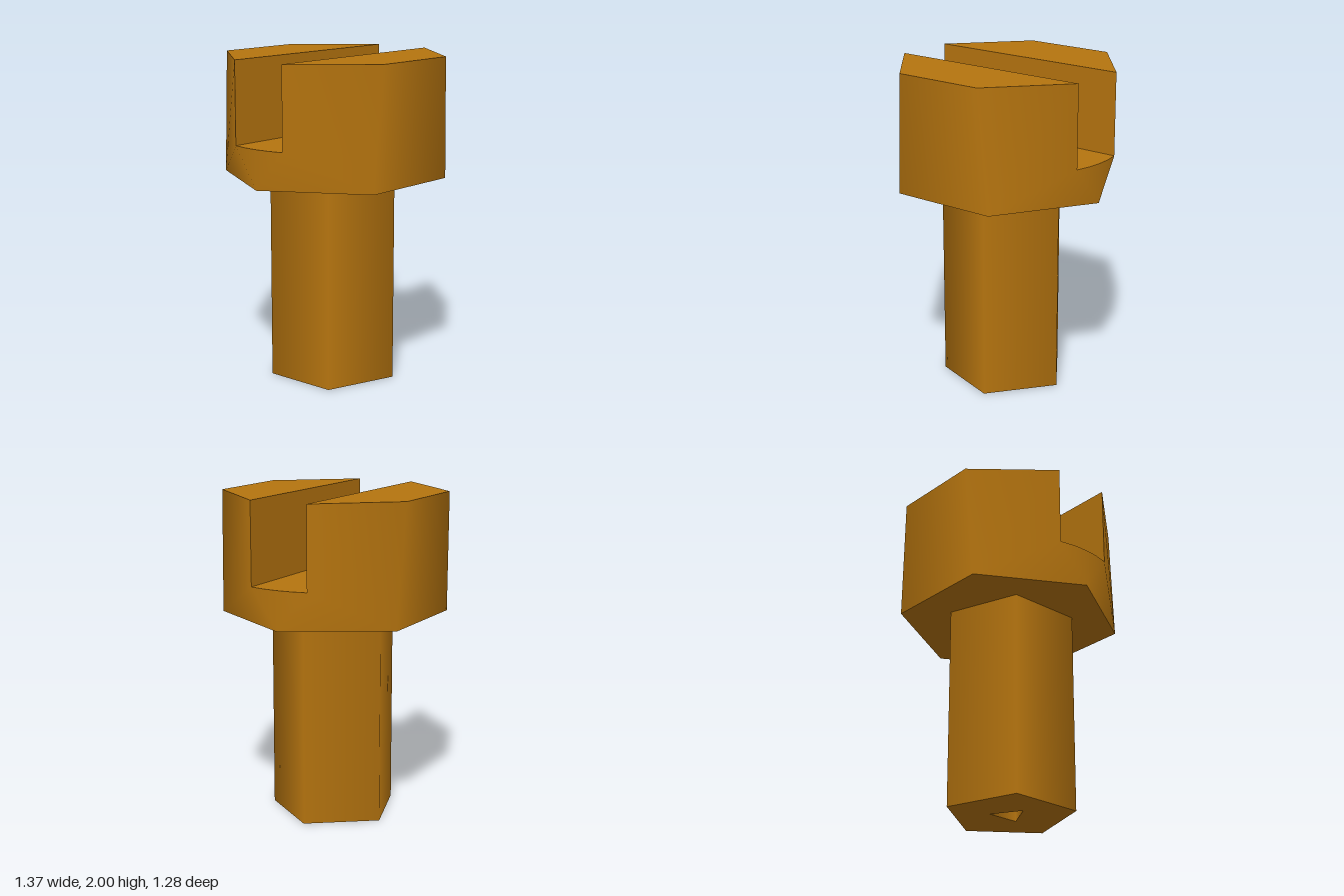
import * as THREE from 'three';

const R = 0.687, SHAFT_R = 0.397, HOLE_R = 0.118;   // radii
const Y0 = 1.26, Y1 = 1.5, Y2 = 2, HOLE_DEPTH = 0.6; // head base, slot floor, top
const S = 15.6;                                      // half angle of the slot opening

const rad = THREE.MathUtils.degToRad;
const material = new THREE.MeshStandardMaterial({ color: 0xb5740f });
const inner = new THREE.MeshStandardMaterial({ color: 0xb5740f, side: THREE.BackSide });

// point on a circle, angle in degrees from +x towards +z
const P = (a, y) => [R * Math.cos(rad(a)), y, R * Math.sin(rad(a))];

// triangles from a list of corners; round gives radial normals, otherwise flat
function triangles(points, round) {
  const g = new THREE.BufferGeometry();
  g.setAttribute('position', new THREE.Float32BufferAttribute(points.flat(), 3));
  if (round) {
    const n = points.flatMap(([x, , z]) => [x / R, 0, z / R]);
    g.setAttribute('normal', new THREE.Float32BufferAttribute(n, 3));
  } else g.computeVertexNormals();
  return g;
}

// convex horizontal face through points on the circle
function disc(angles, y, up) {
  const pts = [];
  for (let i = 1; i < angles.length - 1; i++) {
    const b = P(angles[i], y), c = P(angles[i + 1], y);
    pts.push(P(angles[0], y), ...(up ? [c, b] : [b, c]));
  }
  return triangles(pts, false);
}

// regular polygon outline with its first corner at the given angle
const polygon = (n, r, start) => Array.from({ length: n }, (_, i) => {
  const a = rad(start + i * 360 / n);
  return new THREE.Vector2(r * Math.cos(a), r * Math.sin(a));
});

function add(parent, name, geometry, mat = material) {
  const mesh = new THREE.Mesh(geometry, mat);
  mesh.name = name;
  parent.add(mesh);
  return mesh;
}

// one half of the head: outer wall, cheek top and slot wall
function createCheek() {
  const cheek = new THREE.Group();
  const b = a => P(a, Y0), s = a => P(a, Y1), t = a => P(a, Y2);
  const E = 180 - S;
  const wall = [
    b(0), s(0), s(S / 2), b(0), s(S / 2), s(S),
    b(0), s(S), b(60), s(S), t(S), b(60),
    b(60), t(S), t(65), b(60), t(65), t(115), b(60), t(115), b(120),
    b(120), t(115), t(E), b(120), t(E), s(E), b(120), s(E), b(180),
    b(180), s(E), s(E + S / 2), b(180), s(E + S / 2), s(180),
  ];
  add(cheek, 'headWall', triangles(wall, true));
  add(cheek, 'cheekTop', disc([S, 65, 115, E], Y2, true));
  add(cheek, 'slotWall', triangles([s(S), s(E), t(E), s(S), t(E), t(S)], false));
  return cheek;
}

export function createModel() {
  const model = new THREE.Group();
  model.name = 'slottedBolt';

  // Head: two cheeks either side of a straight slot
  const head = new THREE.Group();
  head.name = 'head';
  for (let i = 0; i < 2; i++) {
    const cheek = createCheek();
    cheek.name = i ? 'backCheek' : 'frontCheek';
    cheek.rotation.y = i * Math.PI;
    head.add(cheek);
  }
  const arc = [-S, -S / 2, 0, S / 2, S];
  add(head, 'slotFloor', disc([...arc, ...arc.map(a => a + 180)], Y1, true));
  add(head, 'headUnderside', disc([0, 60, 120, 180, 240, 300], Y0, false));
  model.add(head);

  // Five-sided shaft, smoothly shaded
  const shaft = new THREE.CylinderGeometry(SHAFT_R, SHAFT_R, Y0, 5, 1, true, Math.PI / 2);
  add(model, 'shaft', shaft.translate(0, Y0 / 2, 0));

  // Shaft end with a small three-sided blind hole
  const end = new THREE.Shape(polygon(5, SHAFT_R, 0));
  end.holes.push(new THREE.Path(polygon(3, HOLE_R, 60)));
  add(model, 'shaftEnd', new THREE.ShapeGeometry(end).rotateX(Math.PI / 2));
  const hole = new THREE.CylinderGeometry(HOLE_R, HOLE_R, HOLE_DEPTH, 3, 1, true, -Math.PI / 2);
  add(model, 'holeWall', hole.translate(0, HOLE_DEPTH / 2, 0), inner);
  const cap = new THREE.ShapeGeometry(new THREE.Shape(polygon(3, HOLE_R, 60)));
  add(model, 'holeEnd', cap.rotateX(Math.PI / 2).translate(0, HOLE_DEPTH, 0));

  // The slot sits slightly turned from the x axis
  model.rotation.y = -rad(4);
  const root = new THREE.Group();
  root.name = 'bolt';
  root.add(model);
  return root;
}
